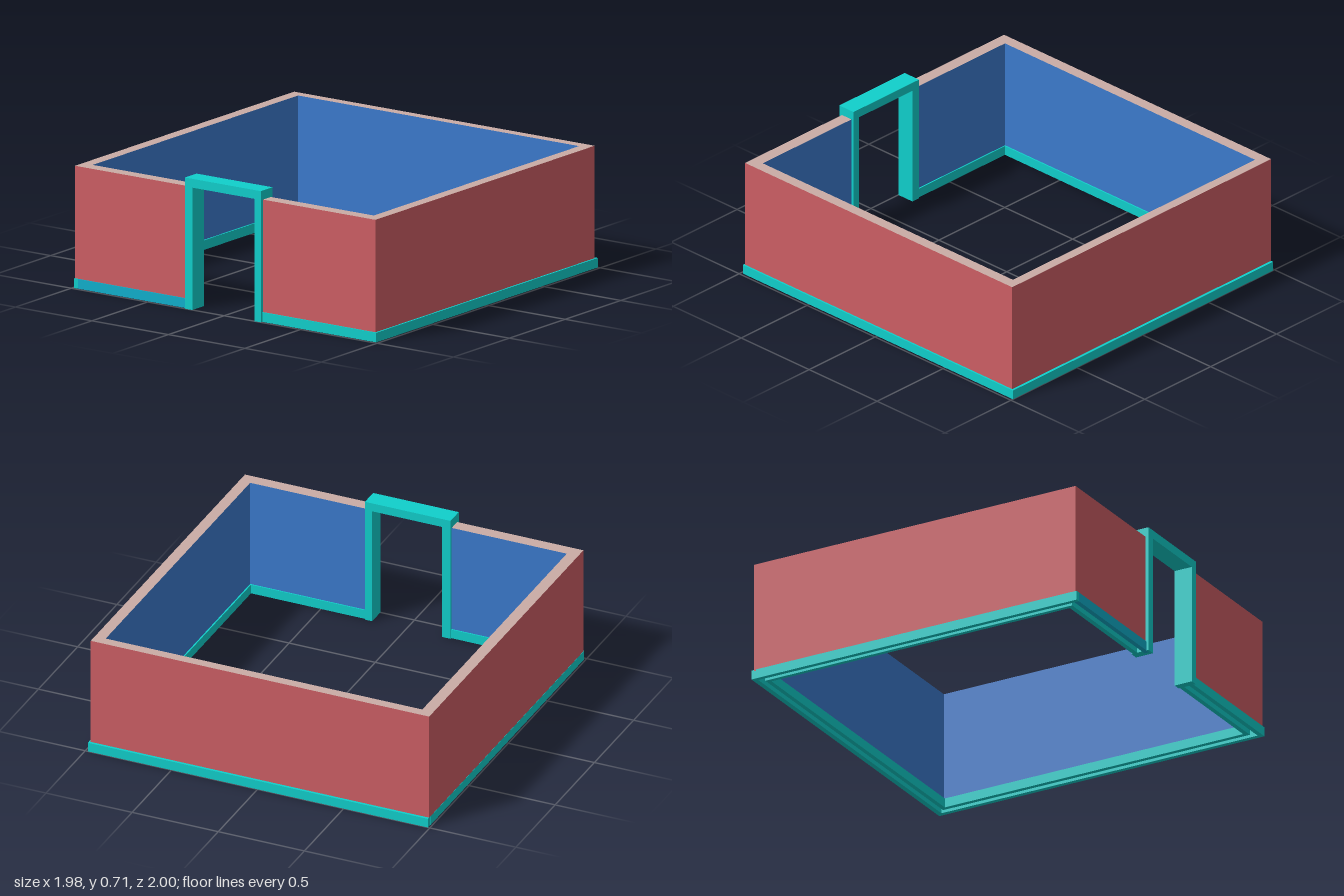
import * as THREE from 'three';

const mat = (name, color) => new THREE.MeshStandardMaterial({ name, color, side: THREE.DoubleSide });

export function createModel() {
  const model = new THREE.Group();
  model.name = 'walledRoom';
  const red = mat('outerRed', 0xcc5e64);
  const blue = mat('innerBlue', 0x3b7acc);
  const beige = mat('topBeige', 0xcaaca6);
  const teal = mat('trimTeal', 0x10cfcb);
  const deepTeal = mat('trimBlueTeal', 0x10aecb);

  const box = (name, m, x0, x1, y0, y1, z0, z1) => {
    const mesh = new THREE.Mesh(new THREE.BoxGeometry(x1 - x0, y1 - y0, z1 - z0), m);
    mesh.position.set((x0 + x1) / 2, (y0 + y1) / 2, (z0 + z1) / 2);
    mesh.name = name;
    model.add(mesh);
  };

  // Upright sheet between two floor points; its front is on the right of a -> b
  const y0 = 0.045, y1 = 0.665;
  const sheet = (name, m, [ax, az], [bx, bz]) => {
    const mesh = new THREE.Mesh(new THREE.PlaneGeometry(Math.hypot(bx - ax, bz - az), y1 - y0), m);
    mesh.position.set((ax + bx) / 2, (y0 + y1) / 2, (az + bz) / 2);
    mesh.rotation.y = Math.atan2(-(bz - az), bx - ax);
    mesh.name = name;
    model.add(mesh);
  };

  // Hollow walls: one outline running around the room from door edge to door edge
  const dl = -0.23, dr = 0.22;
  const outer = [[dr, 0.98], [0.975, 0.98], [0.975, -0.985], [-0.99, -0.985], [-0.99, 0.98], [dl, 0.98]];
  const inner = [[dr, 0.91], [0.913, 0.91], [0.913, -0.93], [-0.925, -0.93], [-0.925, 0.91], [dl, 0.91]];
  for (let i = 0; i < 5; i++) {
    sheet('outerWall', red, outer[i], outer[i + 1]);
    sheet('innerWall', blue, inner[i + 1], inner[i]);
  }

  // Flat cap along the top of the walls
  const outline = [...outer, ...inner.slice().reverse()].map(([x, z]) => new THREE.Vector2(x, -z));
  const cap = new THREE.Mesh(new THREE.ShapeGeometry(new THREE.Shape(outline)), beige);
  cap.rotation.x = -Math.PI / 2;
  cap.position.y = y1;
  cap.name = 'wallTop';
  model.add(cap);

  // Outer skirting boards
  const h = 0.052;
  box('outerSkirtingBack', teal, -0.99, 0.985, 0, h, -1, -0.972);
  box('outerSkirtingRight', teal, 0.96, 0.985, 0, h, -0.972, 0.987);
  box('outerSkirtingLeft', teal, -0.991, -0.966, 0, h, -0.972, 0.987);
  box('outerSkirtingFront', teal, dr, 0.96, 0, h, 0.96, 0.987);
  box('outerSkirtingFront', deepTeal, -0.966, dl, 0, h, 0.96, 0.987);

  // Inner skirting boards
  box('innerSkirtingBack', teal, -0.94, 0.93, 0, h, -0.945, -0.92);
  box('innerSkirtingRight', teal, 0.905, 0.93, 0, h, -0.92, 0.93);
  box('innerSkirtingLeft', teal, -0.94, -0.917, 0, h, -0.92, 0.93);
  box('innerSkirtingFront', teal, dr, 0.905, 0, h, 0.903, 0.93);
  box('innerSkirtingFront', teal, -0.917, dl, 0, h, 0.903, 0.93);

  // Door frame
  box('doorPost', teal, -0.257, -0.208, 0, 0.667, 0.895, 1);
  box('doorPost', teal, 0.198, 0.24, 0, 0.667, 0.895, 1);
  box('doorLintel', teal, -0.257, 0.24, 0.667, 0.715, 0.895, 1);

  return model;
}
